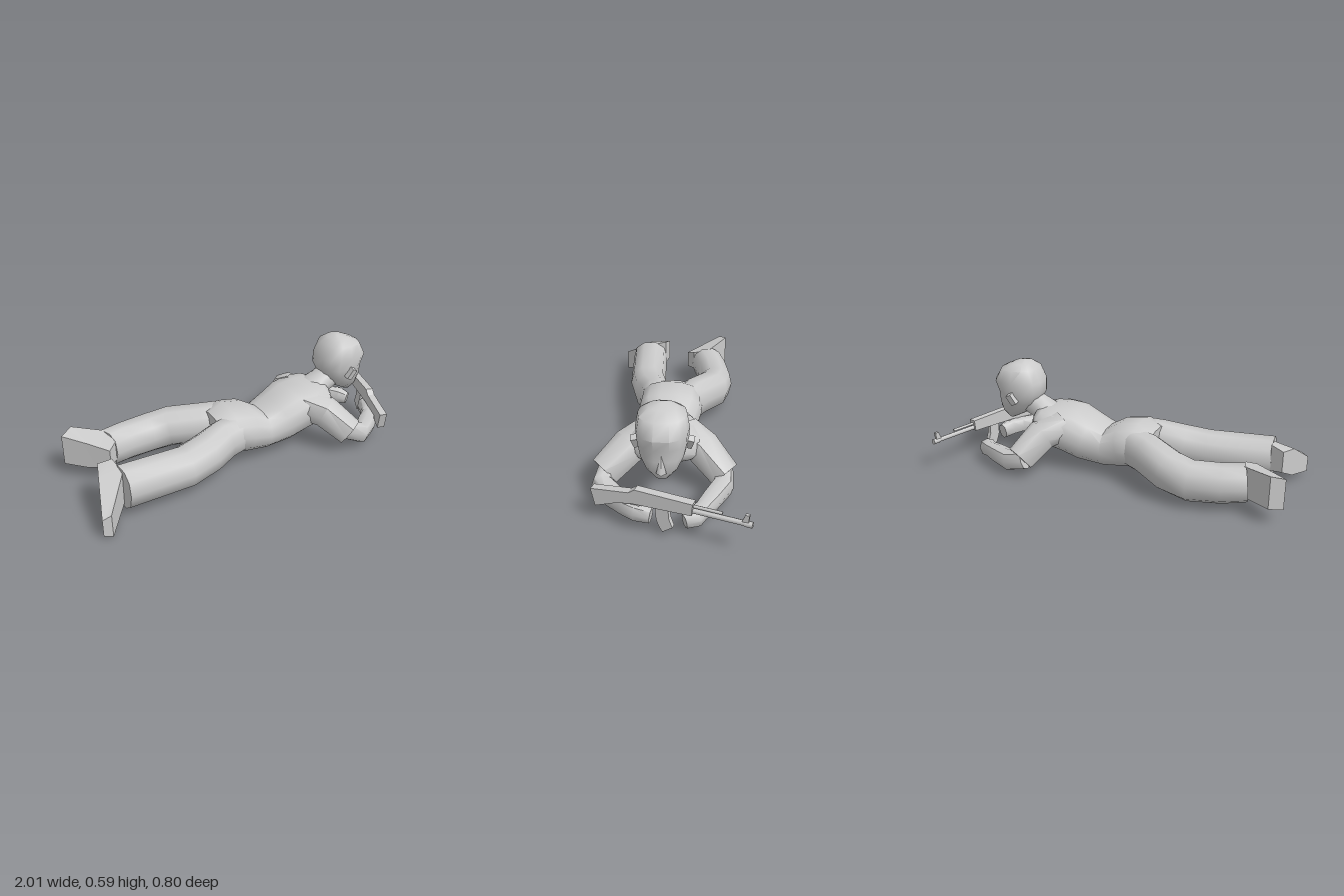
import * as THREE from 'three';
import { mergeVertices, toCreasedNormals } from 'three/addons/utils/BufferGeometryUtils.js';

const material = new THREE.MeshStandardMaterial({ color: 0xcccccc, side: THREE.DoubleSide });
const V = (x, y, z) => new THREE.Vector3(x, y, z);

// Skin over rings of points (counter-clockwise about the path), both ends capped.
function skin(name, rings, crease = 0.9) {
  const n = rings[0].length, pos = [], idx = [];
  rings.forEach(r => r.forEach(p => pos.push(p.x, p.y, p.z)));
  for (let i = 0; i < rings.length - 1; i++) {
    for (let j = 0; j < n; j++) {
      const k = (j + 1) % n, a = i * n + j, b = i * n + k;
      idx.push(a, b, b + n, a, b + n, a + n);
    }
  }
  [0, rings.length - 1].forEach(e => {
    const c = rings[e].reduce((s, p) => s.add(p), V(0, 0, 0)).divideScalar(n);
    const ci = pos.length / 3;
    pos.push(c.x, c.y, c.z);
    for (let j = 0; j < n; j++) {
      const a = e * n + j, b = e * n + (j + 1) % n;
      e ? idx.push(ci, a, b) : idx.push(ci, b, a);
    }
  });
  const g = new THREE.BufferGeometry();
  g.setAttribute('position', new THREE.Float32BufferAttribute(pos, 3));
  g.setIndex(idx);
  const mesh = new THREE.Mesh(toCreasedNormals(mergeVertices(g), crease), material);
  mesh.name = name;
  return mesh;
}

// Limb along a path; each station is [x, y, z, half width, half height].
function limb(name, stations, sides = 10, power = 0.85) {
  const c = stations.map(s => V(s[0], s[1], s[2]));
  const soft = t => Math.sign(t) * Math.abs(t) ** power;
  return skin(name, stations.map((s, i) => {
    const t = c[Math.min(i + 1, c.length - 1)].clone().sub(c[Math.max(i - 1, 0)]).normalize();
    const side = V(0, 1, 0).cross(t).normalize();
    const up = t.clone().cross(side);
    return Array.from({ length: sides }, (_, j) => {
      const a = (j / sides) * Math.PI * 2;
      return c[i].clone().addScaledVector(side, soft(Math.cos(a)) * s[3])
        .addScaledVector(up, soft(Math.sin(a)) * s[4]);
    });
  }));
}

// Foot from sections of sole and instep edges: [soleX, soleZ, instepX, instepZ, yLow, yHigh, instepLow].
const foot = (name, sections) => skin(name, sections.map(([sx, sz, ux, uz, y0, y1, u0]) =>
  [V(sx, y0, sz), V(ux, u0, uz), V(ux, y1, uz), V(sx, y1 - 0.02, sz)]), 0.5);

function createHead() {
  const head = new THREE.Group();
  head.name = 'head';
  const cz = 0.023;
  // Horizontal sections: [y, back x, front x, half width]
  const levels = [
    [0.245, 0.685, 0.725, 0.03], [0.295, 0.59, 0.755, 0.08], [0.36, 0.525, 0.765, 0.112],
    [0.42, 0.495, 0.765, 0.126], [0.485, 0.493, 0.79, 0.13], [0.56, 0.53, 0.745, 0.117],
    [0.59, 0.57, 0.68, 0.07], [0.605, 0.605, 0.625, 0.015],
  ];
  head.add(skin('skull', levels.map(([y, x0, x1, w]) => Array.from({ length: 14 }, (_, j) => {
    const a = (j / 14) * Math.PI * 2, s = Math.sin(a), c = Math.cos(a);
    return V((x0 + x1) / 2 + (x1 - x0) / 2 * Math.sign(s) * Math.abs(s) ** 0.85, y,
      cz + w * Math.sign(c) * Math.abs(c) ** 0.8);
  }))));
  // Nose
  const nose = new THREE.Mesh(new THREE.ConeGeometry(0.025, 0.1, 4), material);
  nose.name = 'nose';
  nose.position.set(0.762, 0.35, cz);
  head.add(nose);
  // Ears
  for (const s of [-1, 1]) {
    const ear = new THREE.Mesh(new THREE.BoxGeometry(0.035, 0.065, 0.035), material);
    ear.name = s > 0 ? 'leftEar' : 'rightEar';
    ear.position.set(0.635, 0.4, cz + s * 0.13);
    ear.rotation.set(s * 0.25, 0, -0.45);
    head.add(ear);
  }
  head.add(limb('neck', [[0.45, 0.29, 0.02, 0.1, 0.07], [0.52, 0.33, 0.02, 0.075, 0.07],
    [0.62, 0.38, 0.02, 0.07, 0.07]]));
  return head;
}

function createRifle() {
  const rifle = new THREE.Group();
  rifle.name = 'rifle';
  const plate = (name, pts, depth) => {
    const g = new THREE.ExtrudeGeometry(new THREE.Shape(pts.map(p => new THREE.Vector2(...p))),
      { depth, bevelEnabled: false });
    g.translate(0, 0, -depth / 2);
    const m = new THREE.Mesh(g, material);
    m.name = name;
    rifle.add(m);
  };
  plate('stockAndReceiver', [[-0.36, 0.195], [-0.34, 0.1], [-0.235, 0.145], [-0.16, 0.163],
    [0.13, 0.176], [0.135, 0.24], [-0.14, 0.246], [-0.17, 0.222]], 0.042);
  plate('magazine', [[-0.045, 0.175], [-0.04, 0.1], [-0.025, 0.06], [-0.01, 0.036],
    [0.038, 0.073], [0.022, 0.12], [0.018, 0.175]], 0.026);
  plate('pistolGrip', [[-0.16, 0.17], [-0.17, 0.1], [-0.14, 0.1], [-0.115, 0.17]], 0.026);
  plate('frontSight', [[0.352, 0.2], [0.366, 0.243], [0.385, 0.243], [0.382, 0.2]], 0.016);
  // Barrel, gas tube and muzzle
  const tube = (name, x0, x1, y, r) => {
    const m = new THREE.Mesh(new THREE.CylinderGeometry(r, r, x1 - x0, 8), material);
    m.name = name;
    m.rotation.z = -Math.PI / 2;
    m.position.set((x0 + x1) / 2, y, 0);
    rifle.add(m);
  };
  tube('barrel', 0.12, 0.39, 0.193, 0.013);
  tube('gasTube', 0.12, 0.265, 0.218, 0.008);
  tube('muzzle', 0.365, 0.4, 0.192, 0.015);
  rifle.rotation.y = Math.atan2(1, 0.347);
  rifle.scale.x = 1.058;
  rifle.position.x = 0.853;
  return rifle;
}

export function createModel() {
  const model = new THREE.Group();
  model.name = 'proneSoldier';

  // Torso from seat to shoulders
  model.add(limb('torso', [
    [-0.21, 0.21, 0.01, 0.13, 0.09], [-0.13, 0.213, 0.015, 0.175, 0.125], [-0.03, 0.195, 0.02, 0.18, 0.125],
    [0.08, 0.16, 0.025, 0.157, 0.108], [0.2, 0.188, 0.025, 0.172, 0.125], [0.3, 0.23, 0.025, 0.19, 0.13],
    [0.4, 0.25, 0.02, 0.21, 0.112], [0.48, 0.275, 0.02, 0.18, 0.085], [0.52, 0.29, 0.02, 0.1, 0.06],
  ], 14, 0.8));

  // Legs
  model.add(limb('leftLeg', [
    [-0.08, 0.205, 0.1, 0.085, 0.11], [-0.2, 0.195, 0.115, 0.095, 0.112], [-0.32, 0.17, 0.15, 0.105, 0.11],
    [-0.47, 0.15, 0.18, 0.108, 0.108], [-0.83, 0.16, 0.193, 0.11, 0.11],
  ]));
  model.add(limb('rightLeg', [
    [-0.07, 0.205, -0.06, 0.085, 0.11], [-0.2, 0.195, -0.11, 0.1, 0.112], [-0.36, 0.17, -0.215, 0.105, 0.11],
    [-0.48, 0.15, -0.243, 0.1, 0.108], [-0.64, 0.155, -0.222, 0.095, 0.105], [-0.76, 0.165, -0.185, 0.098, 0.1],
  ]));

  // Feet
  model.add(foot('leftFoot', [
    [-0.9, 0.065, -0.83, 0.09, 0.13, 0.27, 0.12], [-0.94, 0.18, -0.82, 0.2, 0.07, 0.25, 0.08],
    [-1, 0.35, -0.955, 0.36, 0.03, 0.14, 0.015],
  ]));
  model.add(foot('rightFoot', [
    [-0.97, -0.27, -0.9, -0.31, 0.09, 0.28, 0.1], [-0.87, -0.16, -0.74, -0.2, 0.09, 0.26, 0.09],
    [-0.785, -0.06, -0.735, -0.1, 0.12, 0.24, 0.13],
  ]));

  // Sleeves
  model.add(limb('leftSleeve', [[0.34, 0.265, 0.11, 0.1, 0.085], [0.42, 0.235, 0.21, 0.095, 0.085],
    [0.51, 0.135, 0.33, 0.08, 0.078]], 8));
  model.add(limb('rightSleeve', [[0.34, 0.27, -0.07, 0.1, 0.085], [0.42, 0.235, -0.17, 0.09, 0.085],
    [0.5, 0.125, -0.285, 0.075, 0.078]], 8));

  // Forearms with hands
  model.add(limb('leftForearm', [
    [0.49, 0.15, 0.31, 0.05, 0.06], [0.585, 0.11, 0.335, 0.052, 0.06], [0.68, 0.108, 0.27, 0.056, 0.056],
    [0.76, 0.11, 0.2, 0.045, 0.048], [0.8, 0.11, 0.14, 0.045, 0.052], [0.82, 0.1, 0.07, 0.03, 0.045],
  ], 8));
  model.add(limb('rightForearm', [
    [0.47, 0.125, -0.28, 0.05, 0.06], [0.57, 0.1, -0.275, 0.055, 0.06], [0.69, 0.1, -0.215, 0.05, 0.052],
    [0.76, 0.095, -0.175, 0.042, 0.045], [0.8, 0.085, -0.14, 0.048, 0.052], [0.83, 0.075, -0.09, 0.025, 0.04],
  ], 8));

  model.add(createHead(), createRifle());
  return model;
}
